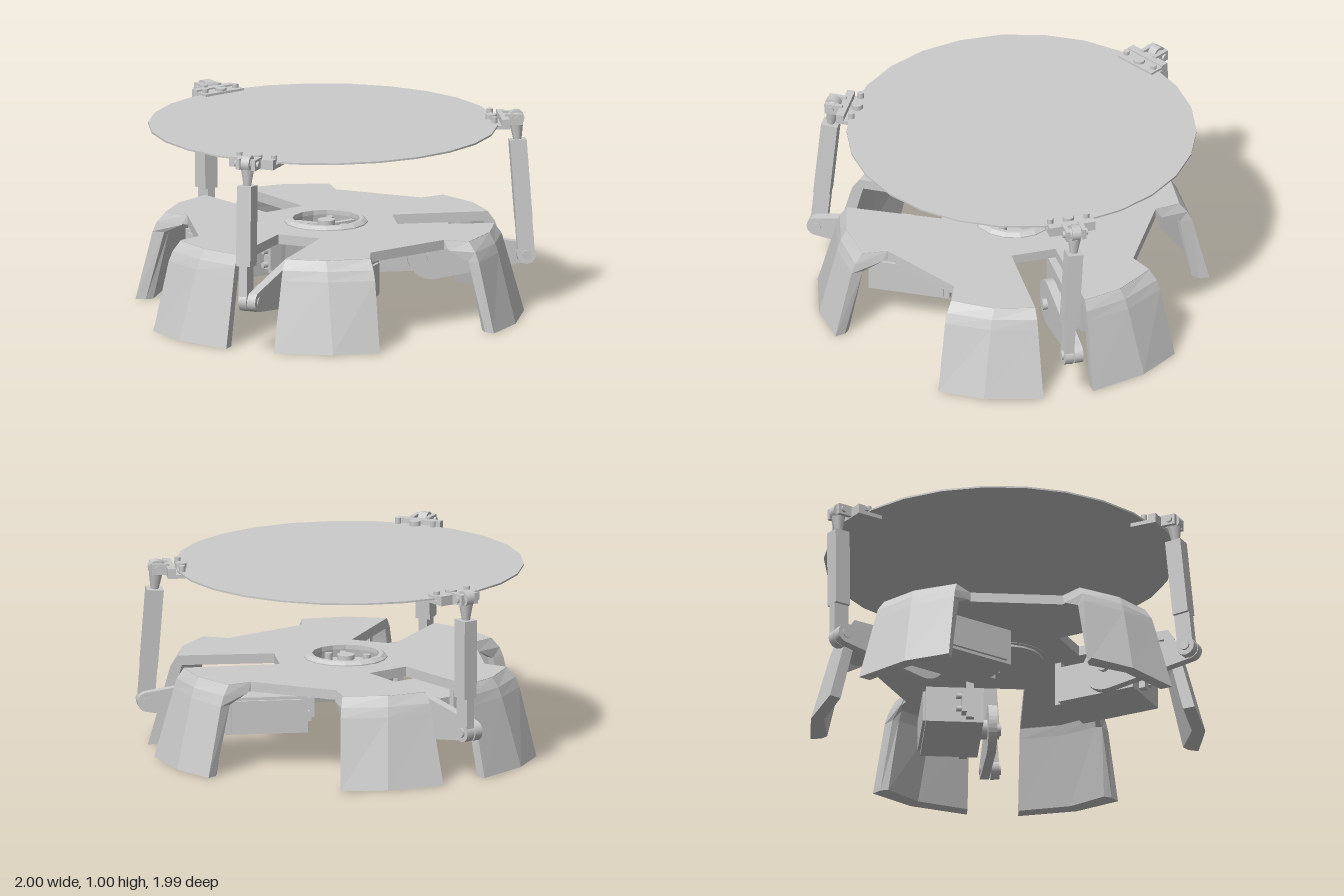
import * as THREE from 'three';

const grey = new THREE.MeshStandardMaterial({ color: 0xcccccc });
grey.name = 'light grey';

const V2 = (p) => new THREE.Vector2(p[0], p[1]);

function add(parent, name, geo, x = 0, y = 0, z = 0) {
  const m = new THREE.Mesh(geo, grey);
  m.name = name;
  m.position.set(x, y, z);
  parent.add(m);
  return m;
}
const box = (p, n, w, h, d, x, y, z) => add(p, n, new THREE.BoxGeometry(w, h, d), x, y, z);
const cyl = (p, n, r, h, x, y, z, seg = 12, r2 = r) => add(p, n, new THREE.CylinderGeometry(r, r2, h, seg), x, y, z);
function cylX(p, n, r, h, x, y, z, seg = 12) {
  const m = cyl(p, n, r, h, x, y, z, seg);
  m.rotation.z = Math.PI / 2;
  return m;
}

// Solid from matching (x, z) rings at rising heights, with flat faces
function loft(levels) {
  const flip = THREE.ShapeUtils.area(levels[0].ring.map(V2)) > 0;
  const rings = levels.map((l) => {
    const r = flip ? [...l.ring].reverse() : l.ring;
    return r.map(([x, z]) => [x, l.y, z]);
  });
  const pos = [];
  const tri = (a, b, c) => pos.push(...a, ...b, ...c);
  for (let k = 0; k + 1 < rings.length; k++) {
    const lo = rings[k], hi = rings[k + 1], n = lo.length;
    for (let i = 0; i < n; i++) {
      const j = (i + 1) % n;
      tri(lo[i], lo[j], hi[j]);
      tri(lo[i], hi[j], hi[i]);
    }
  }
  const cap = (ring, up) => {
    const flat = ring.map((p) => new THREE.Vector2(p[0], p[2]));
    for (const [a, b, c] of THREE.ShapeUtils.triangulateShape(flat, [])) {
      const above = THREE.ShapeUtils.area([flat[a], flat[b], flat[c]]) < 0;
      if (above === up) tri(ring[a], ring[b], ring[c]);
      else tri(ring[a], ring[c], ring[b]);
    }
  };
  cap(rings[0], false);
  cap(rings[rings.length - 1], true);
  const g = new THREE.BufferGeometry();
  g.setAttribute('position', new THREE.Float32BufferAttribute(pos, 3));
  g.computeVertexNormals();
  return g;
}

// Splayed foot: thin curved skirt, flaring into the base top on its outer side
function footGeometry(side) {
  const level = (y, o) => {
    const inner = [2, 1, 0].map((i) => [i === 0 ? o[0][0] : o[i][0] * (i === 2 ? 0.88 : 0.92), o[i][1] * 0.935]);
    return { y, ring: [...o, ...inner].map(([x, z]) => [x * side, z]) };
  };
  return loft([
    level(0.005, [[0.13, 0.99], [0.42, 0.91], [0.62, 0.775], [0.585, 0.735]]),
    level(0.36, [[0.13, 0.89], [0.36, 0.83], [0.565, 0.705], [0.53, 0.655]]),
    level(0.41, [[0.13, 0.875], [0.35, 0.815], [0.55, 0.69], [0.49, 0.56]]),
    level(0.46, [[0.13, 0.84], [0.33, 0.79], [0.52, 0.66], [0.47, 0.54]]),
  ]);
}

// Teardrop servo horn in the (z, y) plane, given thickness along x
function hornGeometry(z0, r0, z1, r1, thick) {
  const s = new THREE.Shape();
  const lean = Math.acos((r0 - r1) / (z1 - z0));
  s.absarc(z0, 0, r0, lean, Math.PI * 2 - lean, false);
  s.absarc(z1, 0, r1, -lean, lean, false);
  s.closePath();
  const hole = new THREE.Path();
  hole.absarc(z1, 0, 0.018, 0, Math.PI * 2, true);
  s.holes.push(hole);
  const g = new THREE.ExtrudeGeometry(s, { depth: thick, bevelEnabled: false, curveSegments: 10 });
  g.rotateY(-Math.PI / 2);
  return g;
}

export function createModel() {
  const root = new THREE.Group();
  root.name = 'balancingPlatform';
  const baseC = new THREE.Vector3(0, 0, -0.09);
  const plateC = new THREE.Vector3(-0.03, 0, -0.12);
  const up = new THREE.Vector3(0, 1, 0);
  const angles = [0, 1, 2].map((k) => (k * Math.PI * 2) / 3);

  const base = new THREE.Group();
  base.name = 'base';
  base.position.copy(baseC);
  root.add(base);

  // Base top with three arm slots and a round centre opening
  const half = [[0.115, 0.35], [0.13, 0.84], [0.33, 0.79], [0.52, 0.66], [0.47, 0.54]];
  const sector = [...[...half].reverse().map(([x, z]) => [-x, z]), ...half];
  const outline = [];
  for (const a of angles) {
    for (const [x, z] of sector) {
      outline.push(new THREE.Vector2(x * Math.cos(a) + z * Math.sin(a), z * Math.cos(a) - x * Math.sin(a)));
    }
  }
  const shape = new THREE.Shape(outline);
  const opening = new THREE.Path();
  opening.absarc(0, 0, 0.185, 0, Math.PI * 2, true);
  shape.holes.push(opening);
  const top = new THREE.ExtrudeGeometry(shape, { depth: 0.05, bevelEnabled: false, curveSegments: 10 });
  top.rotateX(Math.PI / 2);
  add(base, 'baseTop', top, 0, 0.462, 0);

  // Centre hub: raised rim, sunken floor and spokes
  const rim = [[0.18, 0.41], [0.21, 0.41], [0.21, 0.467], [0.19, 0.483], [0.17, 0.483], [0.17, 0.46], [0.18, 0.41]];
  const rimGeo = new THREE.LatheGeometry(rim.map(V2), 16).toNonIndexed();
  rimGeo.computeVertexNormals();
  add(base, 'hubRim', rimGeo);
  cyl(base, 'hubFloor', 0.185, 0.02, 0, 0.41, 0, 20);
  cyl(base, 'hubBoss', 0.045, 0.06, 0, 0.445, 0);
  for (const a of angles) {
    const spoke = new THREE.Group();
    spoke.name = 'hubSpoke';
    spoke.rotation.y = a + 0.5;
    base.add(spoke);
    box(spoke, 'hubRib', 0.03, 0.035, 0.17, 0, 0.435, 0.1);
    cyl(spoke, 'hubScrew', 0.02, 0.05, 0.08, 0.44, 0.08, 8);
  }

  const sides = [1, -1];
  angles.forEach((a, k) => {
    const arm = new THREE.Group();
    arm.name = 'armSector';
    arm.rotation.y = a;
    base.add(arm);
    for (const s of sides) add(arm, 'foot', footGeometry(s));

    // Servo lying beside the slot
    box(arm, 'servoBody', 0.29, 0.19, 0.42, 0.245, 0.265, 0.45);
    box(arm, 'servoCap', 0.02, 0.16, 0.36, 0.395, 0.265, 0.45);
    for (const z of [0.215, 0.685]) {
      box(arm, 'servoEar', 0.025, 0.12, 0.06, 0.2, 0.265, z);
      box(arm, 'servoMount', 0.04, 0.24, 0.035, 0.17, 0.3, z);
      for (const y of [0.23, 0.3]) cylX(arm, 'servoScrew', 0.015, 0.08, 0.2, y, z, 8);
    }
    cylX(arm, 'servoShaft', 0.05, 0.06, 0.08, 0.27, 0.54);

    // Horn and its pivots
    add(arm, 'horn', hornGeometry(0.54, 0.125, 1.015, 0.05, 0.045), 0.06, 0.27, 0);
    cylX(arm, 'hornScrew', 0.03, 0.08, 0.03, 0.27, 0.54, 10);
    cylX(arm, 'lowerPivot', 0.025, 0.11, 0.01, 0.27, 1.015, 10);

    // Push rod from the horn tip to the ball joint
    const low = new THREE.Vector3(-0.012, 0.27, 1.015);
    const high = plateC.clone().sub(baseC).applyAxisAngle(up, -a).add(new THREE.Vector3(0, 0.965, 0.98));
    const rod = new THREE.Group();
    rod.name = 'pushRod';
    rod.position.copy(low);
    const dir = high.clone().sub(low);
    const len = dir.length();
    rod.quaternion.setFromUnitVectors(up, dir.normalize());
    arm.add(rod);
    cylX(rod, 'rodEye', 0.05, 0.045, 0, 0, 0, 12);
    box(rod, 'rodFoot', 0.045, 0.2, 0.085, 0, 0.1, 0);
    box(rod, 'rodBar', 0.078, len - 0.29, 0.085, 0, (len + 0.07) / 2, 0);
    cyl(rod, 'rodNeck', 0.036, 0.09, 0, len - 0.07, 0, 8, 0.02);
    cylX(rod, 'rodEnd', 0.042, 0.045, 0, len, 0, 12);

    // Clevis bracket fixed to the plate edge
    const mount = new THREE.Group();
    mount.name = 'plateBracket';
    mount.position.copy(plateC);
    mount.rotation.y = a;
    root.add(mount);
    box(mount, 'bracketPlate', 0.24, 0.02, 0.14, 0, 0.942, 0.865);
    box(mount, 'bracketBlock', 0.24, 0.045, 0.04, 0, 0.96, 0.915);
    if (k === 2) box(mount, 'bracketCover', 0.24, 0.014, 0.1, 0, 0.967, 0.87);
    for (const s of sides) {
      box(mount, 'clevisCheek', 0.022, 0.055, 0.09, s * 0.042, 0.965, 0.965);
      cyl(mount, 'bracketBolt', 0.016, 0.05, s * 0.095, 0.968, 0.86, 8);
    }
    cyl(mount, 'centreBolt', 0.03, 0.03, 0, 0.972, 0.855, 8);
    cylX(mount, 'clevisPin', 0.018, 0.13, 0, 0.965, 0.98, 8);
    add(mount, 'ball', new THREE.SphereGeometry(0.036, 12, 8), 0, 0.965, 0.98);
  });

  // Thin round plate
  cyl(root, 'plate', 0.883, 0.009, plateC.x, 0.958, plateC.z, 26);
  return root;
}
